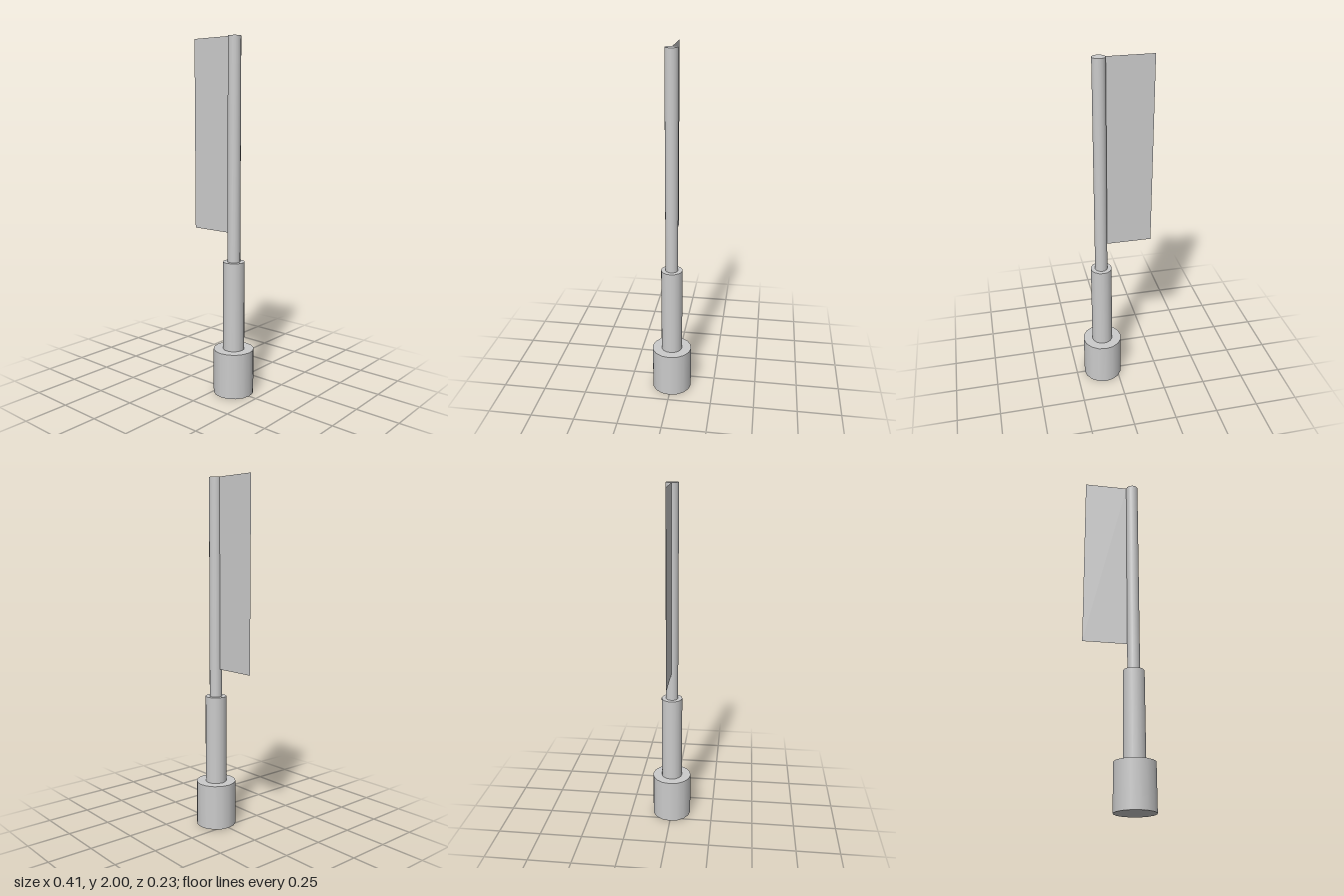
import * as THREE from 'three';

const POLE_X = 0.087;

export function createModel() {
  const group = new THREE.Group();
  const material = new THREE.MeshStandardMaterial({ color: 0xcccccc });

  // Stacked round sections: name, radius, bottom, top
  const sections = [
    ['base', 0.115, 0, 0.26],
    ['sleeve', 0.061, 0.26, 0.77],
    ['pole', 0.036, 0.77, 2],
  ];
  for (const [name, radius, bottom, top] of sections) {
    const section = new THREE.Mesh(
      new THREE.CylinderGeometry(radius, radius, top - bottom, 16), material);
    section.name = name;
    section.position.set(POLE_X, (bottom + top) / 2, 0);
    group.add(section);
  }

  // Thin banner running from the pole's side out to the right
  const left = -0.203, right = POLE_X - 0.034, bottom = 0.93, top = 2;
  const banner = new THREE.Mesh(
    new THREE.PlaneGeometry(right - left, top - bottom),
    new THREE.MeshStandardMaterial({ color: 0xcccccc, side: THREE.DoubleSide }));
  banner.name = 'banner';
  banner.position.set((left + right) / 2, (bottom + top) / 2, 0);
  group.add(banner);

  return group;
}
